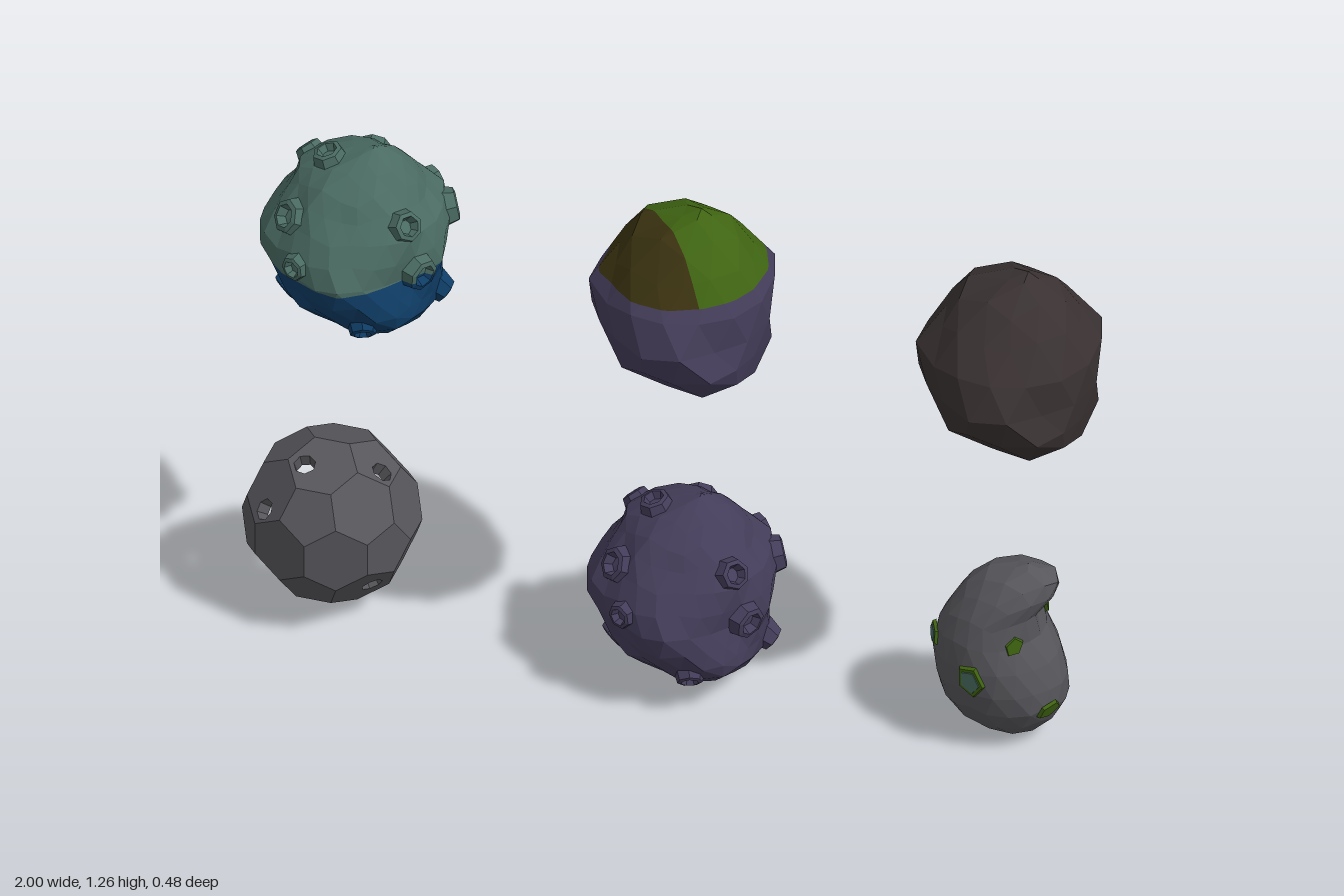
import * as THREE from 'three';
import { mergeGeometries } from 'three/addons/utils/BufferGeometryUtils.js';

const V = (x, y, z) => new THREE.Vector3(x, y, z);
const material = (name, color) => {
  const m = new THREE.MeshStandardMaterial({ color });
  m.name = name;
  return m;
};

// bare, faceted copy of a geometry
function faceted(geo) {
  const g = geo.index ? geo.toNonIndexed() : geo;
  g.deleteAttribute('uv');
  g.computeVertexNormals();
  return g;
}

// sphere remapped to horizontal sections [y, xMin, xMax, zMin, zMax], roughened by waves
function lump(sections, detail, rough, fine = 0) {
  const geo = new THREE.IcosahedronGeometry(1, detail).rotateZ(-0.5536);
  const p = geo.attributes.position;
  const y0 = sections[0][0], y1 = sections[sections.length - 1][0];
  for (let i = 0; i < p.count; i++) {
    const x = p.getX(i), y = p.getY(i), z = p.getZ(i);
    const len = Math.max(Math.hypot(x, z), 1e-6);
    const big = (Math.sin(6 * x + 4 * y + 1) + Math.sin(7 * z - 5 * y) + Math.sin(8 * y - 5 * x + 4 * z)) / 3;
    const small = Math.sin(23 * x + 11 * z) * Math.sin(19 * y - 17 * z + 2);
    const k = 1 + rough * (big - 0.15) + fine * small;
    const Y = THREE.MathUtils.clamp(y0 + (y1 - y0) * (y + 1) / 2, y0, y1);
    let s = 0;
    while (s < sections.length - 2 && Y > sections[s + 1][0]) s++;
    const a = sections[s], b = sections[s + 1], t = (Y - a[0]) / (b[0] - a[0]);
    const [, xa, xb, za, zb] = a.map((v, j) => v + (b[j] - v) * t);
    p.setXYZ(i, (xa + xb) / 2 + (xb - xa) / 2 * k * x / len,
      Y + len * 0.02 * rough * 5 * Math.sin(9 * x + 6 * z),
      (za + zb) / 2 + (zb - za) / 2 * k * z / len);
  }
  return faceted(geo);
}

// first surface point met when looking inward along a direction
function surfaceHit(geo, center, dir) {
  const d = dir.clone().normalize();
  const ray = new THREE.Raycaster(center.clone().addScaledVector(d, 1), d.clone().negate());
  return ray.intersectObject(new THREE.Mesh(geo, new THREE.MeshStandardMaterial()))[0];
}

// cut a geometry in two along the surface where side(v) = 0
function split(geo, side) {
  const p = geo.attributes.position;
  return [1, -1].map((sign) => {
    const out = [];
    for (let i = 0; i < p.count; i += 3) {
      const tri = [0, 1, 2].map((j) => V().fromBufferAttribute(p, i + j));
      const poly = [];
      tri.forEach((a, j) => {
        const b = tri[(j + 1) % 3], fa = side(a) * sign, fb = side(b) * sign;
        if (fa >= 0) poly.push(a);
        if (fa * fb < 0) poly.push(a.clone().lerp(b, fa / (fa - fb)));
      });
      for (let j = 1; j < poly.length - 1; j++) out.push(poly[0], poly[j], poly[j + 1]);
    }
    const g = new THREE.BufferGeometry().setFromPoints(out);
    g.computeVertexNormals();
    return g;
  });
}

const rockSections = [
  [-0.225, 0.05, 0.05, -0.01, -0.01], [-0.21, -0.01, 0.13, -0.08, 0.08], [-0.19, -0.03, 0.18, -0.11, 0.13],
  [-0.15, -0.09, 0.215, -0.15, 0.18], [-0.11, -0.13, 0.22, -0.2, 0.21], [0, -0.215, 0.22, -0.24, 0.235],
  [0.07, -0.16, 0.215, -0.21, 0.2], [0.11, -0.14, 0.18, -0.17, 0.16], [0.17, -0.11, 0.14, -0.11, 0.11],
  [0.2, -0.04, 0.11, -0.07, 0.07], [0.23, 0.06, 0.06, 0, 0],
];
const beanSections = [
  [0, 0.8, 0.8, 0, 0], [0.02, 0.74, 0.86, -0.05, 0.05], [0.05, 0.68, 0.9, -0.085, 0.085],
  [0.12, 0.635, 0.935, -0.125, 0.125], [0.2, 0.62, 0.925, -0.143, 0.14], [0.27, 0.625, 0.885, -0.14, 0.138],
  [0.33, 0.655, 0.86, -0.125, 0.125], [0.37, 0.68, 0.89, -0.11, 0.11], [0.41, 0.71, 0.915, -0.09, 0.09],
  [0.44, 0.755, 0.905, -0.06, 0.06], [0.46, 0.84, 0.84, 0, 0],
];
const craterDirections = [
  [-0.64, 0.71, -0.26], [-0.11, 0.42, -0.9], [-0.59, 0.45, 0.67], [0.55, 0.2, -0.8], [-0.28, 0.95, 0.13],
  [0.86, 0.17, -0.42], [-0.35, 0.03, 0.9], [0.72, 0.49, 0.5], [0.87, -0.1, 0.48], [0.8, -0.6, -0.1],
  [-0.9, -0.2, -0.3], [-0.4, -0.75, -0.5], [0.3, -0.6, 0.75], [-0.6, -0.55, 0.53],
];

// rough rock covered with raised-rim craters
function crateredRock() {
  const body = lump(rockSections, 4, 0.07, 0.035);
  const profile = [[0.046, -0.03], [0.034, 0.016], [0.024, 0.019], [0.015, -0.002], [0, -0.004]]
    .map(([r, y]) => new THREE.Vector2(r, y));
  const craters = craterDirections.map((d, i) => {
    const dir = V(...d).normalize(), s = 0.85 + 0.15 * (i % 3);
    const q = new THREE.Quaternion().setFromUnitVectors(V(0, 1, 0), dir);
    const hit = surfaceHit(body, V(0.02, 0, 0), dir);
    const g = new THREE.LatheGeometry(profile, 7);
    return faceted(g.applyMatrix4(new THREE.Matrix4().compose(hit.point, q, V(s, s, s))));
  });
  return mergeGeometries([body, ...craters]);
}

// ball of pentagons and hexagons with funnel-shaped holes
function holedBall(radius, holeDirections) {
  const f = (1 + Math.sqrt(5)) / 2, ico = [], corners = [], faces = [];
  for (const a of [-1, 1]) for (const b of [-f, f]) ico.push(V(0, a, b), V(a, b, 0), V(b, 0, a));
  const near = (a, b) => a !== b && a.distanceTo(b) < 2.1;
  ico.forEach((a, i) => {
    faces.push({ dir: a.clone().normalize(), sides: 5 });
    ico.forEach((b, j) => {
      if (!near(a, b)) return;
      corners.push(a.clone().lerp(b, 1 / 3).setLength(radius));
      ico.forEach((c, k) => {
        if (i < j && j < k && near(a, c) && near(b, c))
          faces.push({ dir: a.clone().add(b).add(c).normalize(), sides: 6 });
      });
    });
  });
  const parts = [];
  for (const { dir, sides } of faces) {
    const ring = [...corners].sort((a, b) => b.dot(dir) - a.dot(dir)).slice(0, sides);
    const height = ring[0].dot(dir);
    const u = ring[0].clone().addScaledVector(dir, -height).normalize(), w = dir.clone().cross(u);
    const flat = ring.map((v) => new THREE.Vector2(v.dot(u), v.dot(w)))
      .sort((a, b) => Math.atan2(a.y, a.x) - Math.atan2(b.y, b.x));
    const frame = new THREE.Matrix4().makeBasis(u, w, dir).setPosition(dir.clone().multiplyScalar(height));
    const shape = new THREE.Shape(flat);
    const hole = holeDirections.map((d) => V(...d).normalize())
      .find((d) => faces.every((o) => o.dir.dot(d) <= dir.dot(d)));
    if (hole) {
      const r = 0.025, limit = (sides === 5 ? 0.054 : 0.068) - r;
      const c = new THREE.Vector2(hole.dot(u), hole.dot(w)).multiplyScalar(radius).clampLength(0, limit);
      const rim = [...Array(7).keys()].map((i) => i / 7 * Math.PI * 2)
        .map((t) => new THREE.Vector2(c.x + r * Math.sin(t), c.y - r * Math.cos(t)));
      shape.holes.push(new THREE.Path(rim));
      const wall = new THREE.LatheGeometry([new THREE.Vector2(r, 0), new THREE.Vector2(r * 0.85, -0.03)], 7);
      parts.push(faceted(wall.rotateX(Math.PI / 2).translate(c.x, c.y, 0).applyMatrix4(frame)));
    }
    parts.push(faceted(new THREE.ShapeGeometry(shape).applyMatrix4(frame)));
  }
  return mergeGeometries(parts);
}

export function createModel() {
  const teal = material('teal', 0x4a6b62), blue = material('blue', 0x0f3d66);
  const purple = material('purple', 0x443d5a), green = material('green', 0x3f6412);
  const olive = material('olive', 0x3a3210), brown = material('brown', 0x3a3232);
  const grey = material('grey', 0x56565b);
  const model = new THREE.Group();
  model.name = 'asteroids';
  const add = (name, geo, mat, x = 0, y = 0, z = 0) => {
    const mesh = new THREE.Mesh(geo, mat);
    mesh.name = name;
    mesh.position.set(x, y, z);
    model.add(mesh);
  };

  // cratered rocks: one in two colours, one plain
  const cratered = crateredRock();
  const [upper, lower] = split(cratered, (v) => v.y + 0.03);
  add('crateredRockTop', upper, teal, -0.76, 1.03);
  add('crateredRockBottom', lower, blue, -0.76, 1.03);
  add('plainCrateredRock', cratered, purple, 0.01, 0.25);

  // coarse rocks: one with a two-tone cap, one plain
  const coarse = lump(rockSections, 2, 0.09);
  const [cap, base] = split(coarse, (v) => v.y - 0.07);
  const [capFront, capBack] = split(cap, (v) => v.z - v.x - 0.05);
  add('cappedRockBase', base, purple, 0.01, 1.03);
  add('cappedRockFrontCap', capFront, olive, 0.01, 1.03);
  add('cappedRockBackCap', capBack, green, 0.01, 1.03);
  add('plainCoarseRock', coarse, brown, 0.78, 1.03);

  // ball with holes
  add('holedBall', holedBall(0.203, [
    [0.71, 0.69, 0.13], [-0.2, 0.9, 0.37], [0.66, -0.58, 0.49], [-0.6, 0.25, 0.76], [-0.6, -0.6, 0.53],
    [-0.44, 0.68, -0.58], [-0.99, 0, 0.1], [-0.62, -0.67, -0.4], [0.79, -0.25, -0.55], [0.66, -0.7, -0.27],
    [0.19, -0.72, -0.67], [0.25, 0.57, -0.77],
  ]), grey, -0.8, 0.23);

  // bean with coloured pits
  const bean = lump(beanSections, 3, 0.02);
  add('bean', bean, grey);
  [[0.06, 0.08, 0.1, 0.026], [0.12, 0.16, -0.055, 0.028], [0.13, -0.1, 0.065, 0.032], [0.1, -0.16, -0.075, 0.02],
    [-0.03, -0.01, 0.13, 0.045], [-0.13, 0.04, 0.05, 0.032], [-0.07, -0.09, -0.11, 0.03],
    [0, 0.06, -0.13, 0.026], [0.06, -0.19, -0.02, 0.02]].forEach(([x, y, z, r], i) => {
    const hit = surfaceHit(bean, V(0.78, 0.22, 0), V(x, y, z));
    const q = new THREE.Quaternion().setFromUnitVectors(V(0, 1, 0), hit.face.normal);
    const pit = (name, size, lift, mat) => add(name, faceted(new THREE.CylinderGeometry(size * 0.9, size, 0.008, 5)
      .scale(0.8, 1, 1).translate(0, lift, 0).applyQuaternion(q)), mat, ...hit.point.toArray());
    pit('beanPit', r, 0.002, green);
    if (i === 4 || i === 5) pit('beanPitFloor', r * 0.75, 0.004, teal);
  });
  return model;
}
